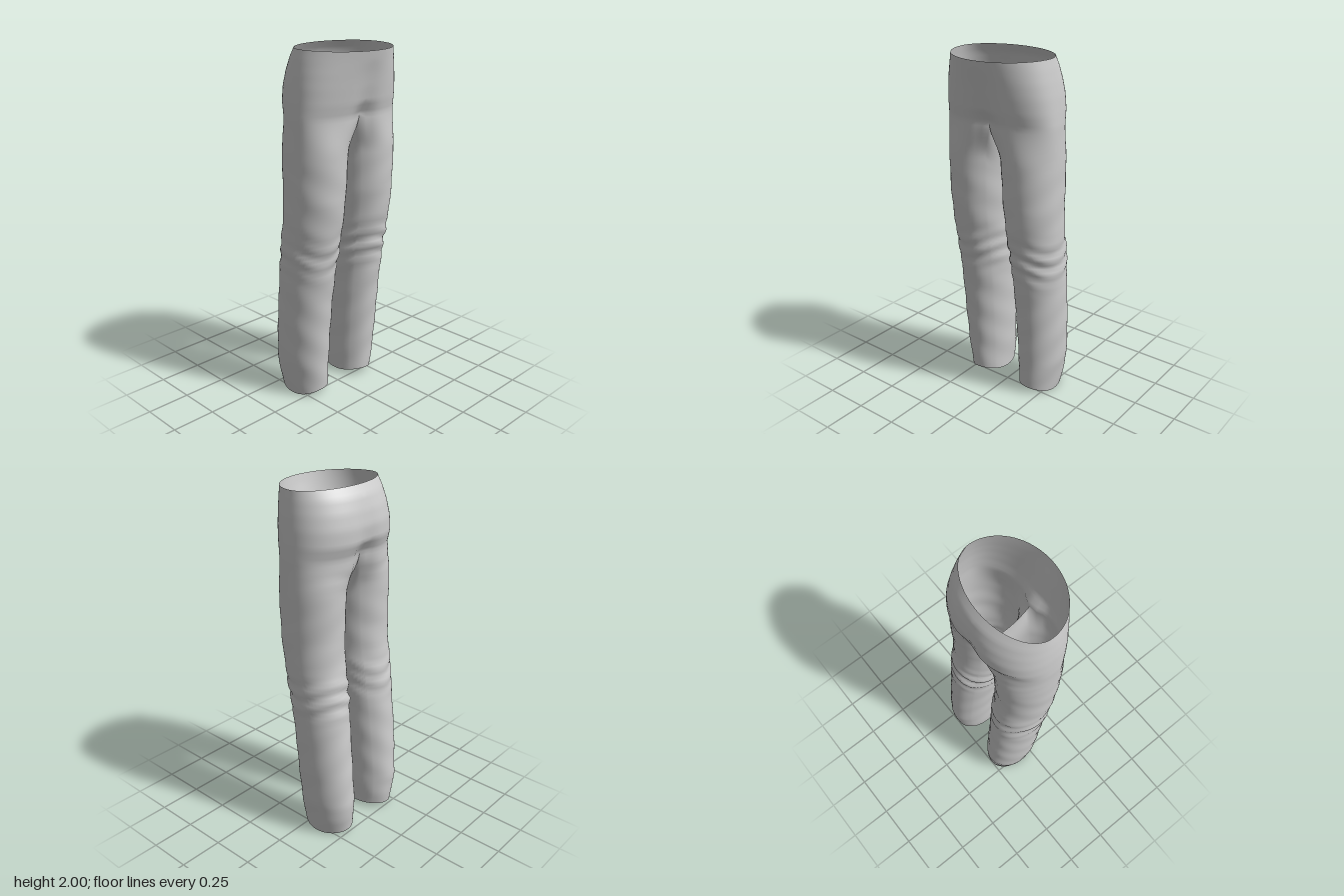
import * as THREE from 'three';
import { mergeGeometries, mergeVertices } from 'three/addons/utils/BufferGeometryUtils.js';

const { lerp, smoothstep } = THREE.MathUtils;

// hips: y, half width, front z, back z, dip at the centre seam, roundness power
const HIPS = [
  [2.00, 0.297, 0.275, -0.148, 0.00, 1.00],
  [1.95, 0.308, 0.264, -0.183, 0.00, 0.97],
  [1.88, 0.320, 0.250, -0.208, 0.02, 0.92],
  [1.80, 0.331, 0.235, -0.224, 0.04, 0.88],
  [1.72, 0.338, 0.220, -0.224, 0.08, 0.86],
  [1.65, 0.343, 0.203, -0.200, 0.22, 0.86],
];
// leg: y, outer x, inner x, front z, back z
const LEG = [
  [1.65, 0.344, 0.004, 0.200, -0.185],
  [1.55, 0.346, 0.008, 0.197, -0.178],
  [1.40, 0.347, 0.015, 0.195, -0.176],
  [1.20, 0.346, 0.024, 0.186, -0.172],
  [1.05, 0.344, 0.030, 0.168, -0.180],
  [0.95, 0.342, 0.032, 0.150, -0.198],
  [0.80, 0.338, 0.040, 0.124, -0.215],
  [0.60, 0.334, 0.050, 0.100, -0.235],
  [0.40, 0.330, 0.056, 0.084, -0.254],
  [0.20, 0.320, 0.060, 0.070, -0.268],
  [0.10, 0.305, 0.064, 0.064, -0.262],
  [0.00, 0.287, 0.068, 0.058, -0.246],
];
const CROTCH_Y = 1.57;
const OUTER = 40, INNER = 14, HIP_ROWS = 20, LEG_ROWS = 72;

// interpolate a table row at height y
function sample(table, y) {
  let k = 0;
  while (k < table.length - 2 && table[k + 1][0] > y) k++;
  const [a, b] = [table[k], table[k + 1]];
  const t = THREE.MathUtils.clamp((a[0] - y) / (a[0] - b[0]), 0, 1);
  return a.map((v, i) => lerp(v, b[i], t));
}

// half a hip loop, from centre front around the side to centre back
function hipArc(y) {
  const [, w, front, back, dip, power] = sample(HIPS, y);
  const arc = [];
  for (let i = 0; i <= OUTER; i++) {
    const a = (i / OUTER) * Math.PI;
    const c = Math.cos(a), s = i === OUTER ? 0 : Math.sin(a);
    const x = w * Math.pow(s, power);
    const depth = Math.sign(c) * Math.pow(Math.abs(c), power);
    let z = 0.03 + depth * (c > 0 ? front - 0.03 : 0.03 - back);
    z *= 1 - dip * Math.exp(-((x / 0.07) ** 2));
    const drop = 0.015 * (0.5 + 0.5 * c) * smoothstep(y, 1.8, 2);
    arc.push(new THREE.Vector3(x, y - drop, z));
  }
  return arc;
}

// cloth folds behind the knee, below the seat and faintly along the leg
function fold(y, angle, side) {
  const knee = Math.exp(-(((y - 0.88) / 0.1) ** 2));
  const seat = Math.exp(-(((y - 1.58) / 0.06) ** 2)) * Math.max(0, -Math.sin(angle));
  const ripple = Math.sin(y * 68 + 2.2 * Math.sin(2 * angle + side) + side);
  return ripple * (0.006 * knee * (side > 0 ? 1.3 : 0.8) + 0.005 * seat)
    + 0.0015 * Math.sin(y * 31 + 3 * angle + side) * smoothstep(1.5 - y, 0, 0.2);
}

// leg rings that grow out of the half hip loop closed by the crotch curve
function legRings(side) {
  const top = hipArc(1.65);
  const f = top[0], b = top[OUTER];
  for (let i = 1; i <= INNER; i++) {
    const s = i / INNER;
    top.push(new THREE.Vector3(0, lerp(CROTCH_Y, f.y, (2 * s - 1) ** 2), lerp(b.z, f.z, s)));
  }
  top[top.length - 1].copy(f);
  const angles = top.map(p => Math.atan2(p.z - 0.008, p.x - 0.174));
  const rings = [];
  for (let r = 0; r <= LEG_ROWS; r++) {
    const t = r / LEG_ROWS;
    rings.push(top.map((p, i) => {
      const c = Math.cos(angles[i]), s = Math.sin(angles[i]);
      const hem = 0.012 * (1 - c) + (s > 0 ? 0.032 : 0.01) * s * s;
      const y = lerp(p.y, hem, t);
      const [, out, inn, front, back] = sample(LEG, y);
      const bump = fold(y, angles[i], side);
      const x = (out + inn) / 2 + ((out - inn) / 2 + bump) * c;
      const z = (front + back) / 2 + ((front - back) / 2 + bump) * s;
      const k = smoothstep(t, 0, 0.13);
      return new THREE.Vector3(lerp(p.x, x, k), y, lerp(p.z, z, k));
    }));
  }
  return rings;
}

// skin a list of equal-length rows; side -1 mirrors it
function skin(rows, side) {
  const n = rows[0].length, index = [];
  for (let r = 0; r < rows.length - 1; r++) {
    for (let i = 0; i < n - 1; i++) {
      const a = r * n + i, b = a + n, c = b + 1, d = a + 1;
      if (side > 0) index.push(a, b, c, a, c, d);
      else index.push(a, c, b, a, d, c);
    }
  }
  const g = new THREE.BufferGeometry();
  const pos = rows.flat().flatMap(p => [p.x * side, p.y, p.z]);
  g.setAttribute('position', new THREE.Float32BufferAttribute(pos, 3));
  g.setIndex(index);
  return g;
}

export function createModel() {
  const group = new THREE.Group();
  group.name = 'trousers';

  const hipRows = [];
  for (let r = 0; r <= HIP_ROWS; r++) hipRows.push(hipArc(lerp(2, 1.65, r / HIP_ROWS)));

  // both halves welded into one continuous cloth
  const parts = [1, -1].flatMap(side => [skin(hipRows, side), skin(legRings(side), side)]);
  const cloth = mergeVertices(mergeGeometries(parts), 1e-4);
  cloth.computeVertexNormals();

  const material = new THREE.MeshStandardMaterial({ color: 0xcccccc, side: THREE.DoubleSide });
  const mesh = new THREE.Mesh(cloth, material);
  mesh.name = 'hipsAndLegs';
  group.add(mesh);
  return group;
}
